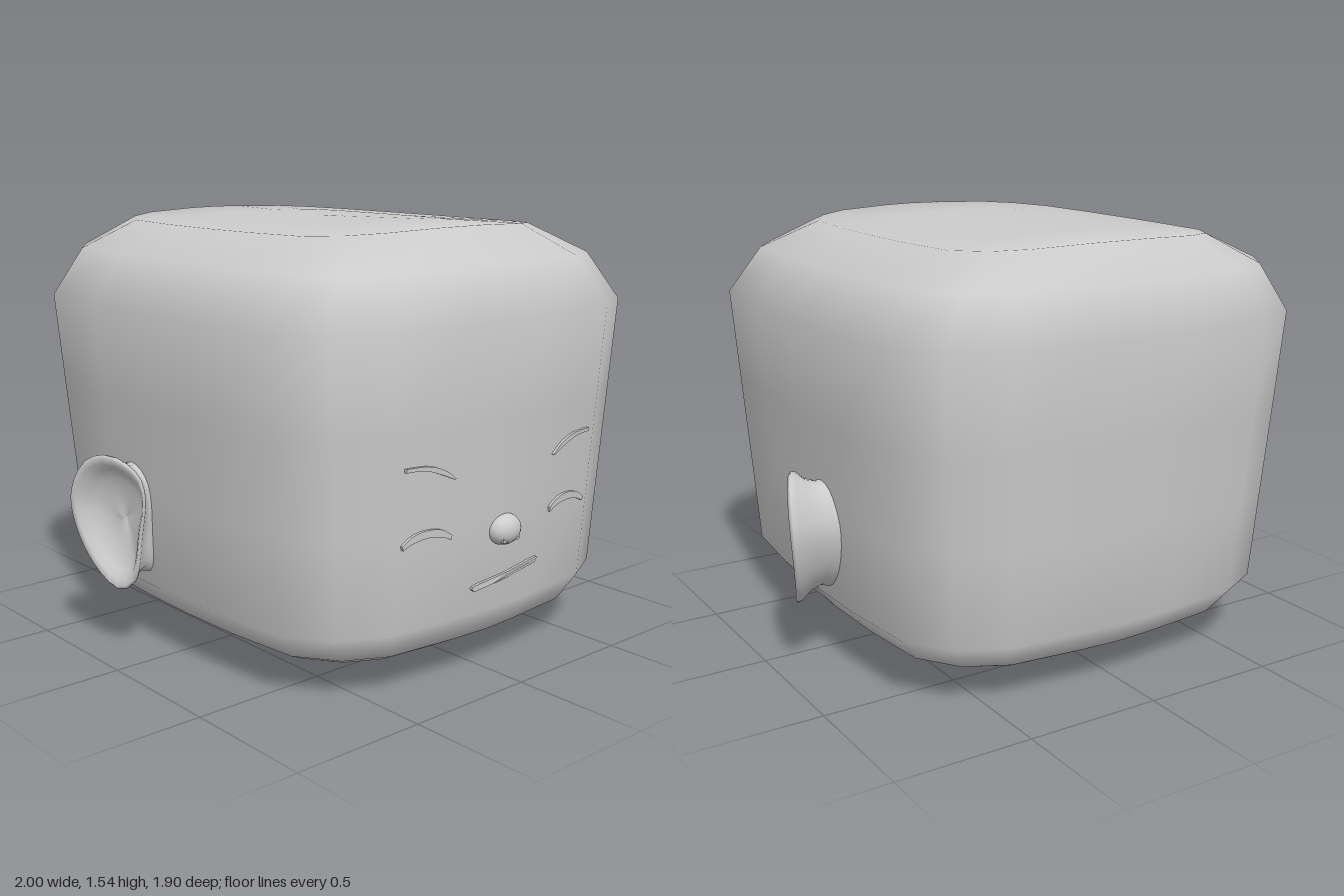
import * as THREE from 'three';

const grey = () => new THREE.MeshStandardMaterial({ color: 0xcccccc, side: THREE.DoubleSide });

// Smooth skin over closed loops of [x, y, z] points
function loft(loops) {
  const n = loops[0].length, index = [];
  for (let i = 0; i < loops.length - 1; i++) {
    for (let j = 0; j < n; j++) {
      const k = (j + 1) % n;
      const a = i * n + j, b = i * n + k, c = b + n, d = a + n;
      index.push(a, b, c, a, c, d);
    }
  }
  const g = new THREE.BufferGeometry();
  g.setAttribute('position', new THREE.Float32BufferAttribute(loops.flat(2), 3));
  g.setIndex(index);
  g.computeVertexNormals();
  return g;
}

// One quarter of the head's rounded plan, as fractions of half width and half depth
const QUARTER = [[0, 1], [0.21, 0.99], [0.6, 0.955], [0.81, 0.86], [0.95, 0.685], [0.99, 0.33], [1, 0]];
const PLAN = [
  ...QUARTER.slice(0, 6),
  ...QUARTER.slice(1).reverse().map(([x, z]) => [x, -z]),
  ...QUARTER.slice(0, 6).map(([x, z]) => [-x, -z]),
  ...QUARTER.slice(1).reverse().map(([x, z]) => [-x, z]),
];

// Head rings: height, half width, front z, back z, height change towards the sides
const RINGS = [
  [0.005, 0, 0.05, 0.05, 0],
  [0.005, 0.17, 0.3, -0.22, 0.004],
  [0.008, 0.34, 0.54, -0.44, 0.014],
  [0.09, 0.6, 0.72, -0.69, 0],
  [0.15, 0.71, 0.83, -0.8, 0],
  [0.25, 0.79, 0.885, -0.875, 0],
  [0.59, 0.815, 0.903, -0.9, 0],
  [0.92, 0.84, 0.921, -0.925, 0],
  [1.26, 0.865, 0.94, -0.95, 0],
  [1.43, 0.75, 0.85, -0.89, 0],
  [1.55, 0.55, 0.68, -0.76, -0.022],
  [1.55, 0.3, 0.36, -0.44, -0.007],
  [1.55, 0, -0.04, -0.04, 0],
];

function headGeometry() {
  return loft(RINGS.map(([y, w, front, back, rise]) => PLAN.map(([x, z]) => [
    x * w, y + rise * x * x, (front + back) / 2 + z * (front - back) / 2,
  ])));
}

// Depth of the face surface at a given x and y
function faceZ(x, y) {
  const t = (y - 0.25) / 1.01, u = Math.abs(x) / (0.79 + 0.075 * t);
  const f = u < 0.21 ? 1 - u * 0.048 : 0.99 - (u - 0.21) * 0.09;
  return (0.885 + 0.055 * t) * f;
}

// Cupped ear: loops run from the root, round the rim and into the bowl
function earGeometry(side) {
  const outline = [
    [-0.15, 0.75], [-0.08, 0.73], [-0.03, 0.68], [-0.015, 0.6], [-0.03, 0.45], [-0.045, 0.33],
    [-0.065, 0.275], [-0.12, 0.255], [-0.2, 0.32], [-0.26, 0.43], [-0.285, 0.56], [-0.268, 0.64], [-0.22, 0.72],
  ].map(([z, y]) => new THREE.Vector3(0, y, z));
  const rim = new THREE.CatmullRomCurve3(outline, true).getSpacedPoints(32).slice(0, 32);
  // scale about the ear centre, share of the rim's outward reach, base x
  const steps = [
    [0.85, 0, 0.78], [0.8, 0.15, 0.82], [0.86, 0.5, 0.838], [0.98, 0.82, 0.848], [1, 0.94, 0.857],
    [0.96, 1, 0.86], [0.86, 0.96, 0.855], [0.76, 0.72, 0.85], [0.62, 0.45, 0.85], [0.35, 0.25, 0.848], [0, 0.15, 0.848],
  ];
  const loops = steps.map(([s, reach, base]) => {
    const loop = rim.map(({ y, z }) => {
      const t = Math.max(0, (-0.015 - z) / 0.27);
      const out = 0.14 * Math.pow(t, 0.8) + 0.06 * Math.min(0.15, Math.max(-0.25, y - 0.58)) * t;
      return [side * (base + reach * out), 0.51 + (y - 0.51) * s, -0.14 + (z + 0.14) * s];
    });
    return side > 0 ? loop : loop.reverse();
  });
  return loft(loops);
}

// Thin raised strip laid on the face: upper edge one way, lower edge back
function faceStrip(upper, lower, side = 1) {
  const edge = (pts) => new THREE.SplineCurve(pts.map(([x, y]) => new THREE.Vector2(side * x, y))).getPoints(10);
  const shape = new THREE.Shape([...edge(upper), ...edge(lower)]);
  const g = new THREE.ExtrudeGeometry(shape, { depth: 0.026, bevelEnabled: false });
  const p = g.attributes.position;
  for (let i = 0; i < p.count; i++) {
    p.setZ(i, p.getZ(i) - 0.016 + faceZ(p.getX(i), p.getY(i)));
  }
  g.computeVertexNormals();
  return g;
}

export function createModel() {
  const model = new THREE.Group();
  const add = (name, geometry) => {
    const mesh = new THREE.Mesh(geometry, grey());
    mesh.name = name;
    model.add(mesh);
    return mesh;
  };

  add('head', headGeometry());

  for (const [label, side] of [['left', 1], ['right', -1]]) {
    add(label + 'Ear', earGeometry(side));
    add(label + 'Eyebrow', faceStrip(
      [[0.245, 0.757], [0.29, 0.79], [0.36, 0.815], [0.455, 0.82]],
      [[0.455, 0.807], [0.38, 0.803], [0.31, 0.78], [0.25, 0.754]], side));
    add(label + 'ClosedEye', faceStrip(
      [[0.248, 0.562], [0.29, 0.588], [0.35, 0.597], [0.41, 0.588], [0.456, 0.56]],
      [[0.452, 0.545], [0.41, 0.562], [0.35, 0.57], [0.29, 0.562], [0.25, 0.545]], side));
  }

  // Small soft nose with a flat nostril line below
  const nose = add('nose', new THREE.SphereGeometry(1, 20, 14));
  nose.scale.set(0.07, 0.055, 0.05);
  nose.position.set(0, 0.535, 0.9);
  const nostrils = add('nostrilLine', new THREE.BoxGeometry(0.08, 0.016, 0.04));
  nostrils.position.set(0, 0.506, 0.916);

  add('mouth', faceStrip(
    [[-0.14, 0.342], [-0.13, 0.357], [0.02, 0.374], [0.175, 0.393], [0.185, 0.385]],
    [[0.18, 0.374], [0.02, 0.354], [-0.13, 0.335]]));

  return model;
}
